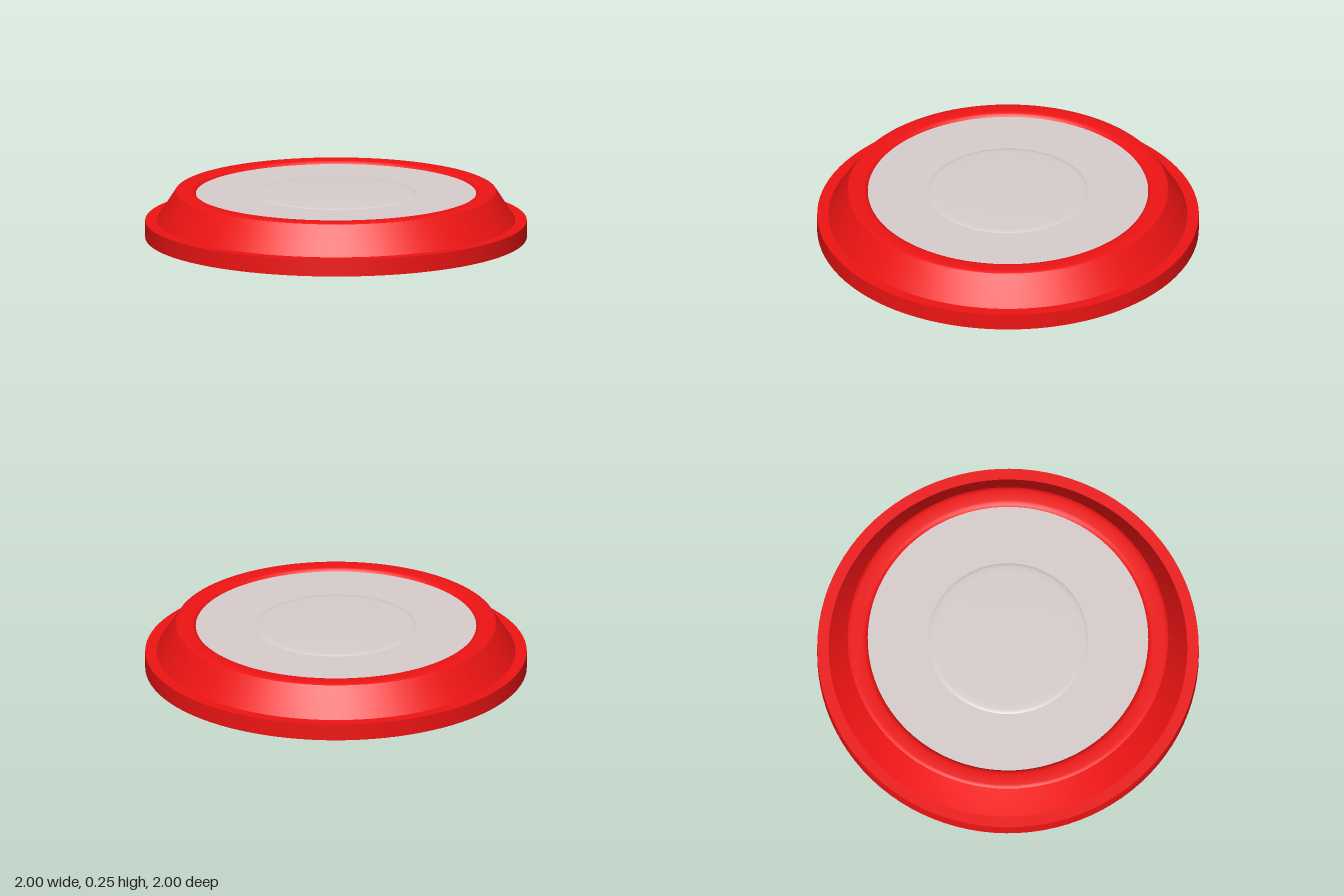
import * as THREE from 'three';
import { toCreasedNormals } from 'three/addons/utils/BufferGeometryUtils.js';

const SEGMENTS = 96;

// Revolve a profile of [radius, height] points, listed so the surface faces outward
function turned(name, profile, material) {
  const points = profile.map(([r, y]) => new THREE.Vector2(r, y));
  const lathe = new THREE.LatheGeometry(points, SEGMENTS);
  const mesh = new THREE.Mesh(toCreasedNormals(lathe, 0.45), material);
  mesh.name = name;
  return mesh;
}

export function createModel() {
  const model = new THREE.Group();
  model.name = 'roundButton';
  const red = new THREE.MeshStandardMaterial({ color: 0xf01414, side: THREE.DoubleSide });
  const pale = new THREE.MeshStandardMaterial({ color: 0xd8cecd, side: THREE.DoubleSide });

  // Flanged rim: straight foot, sloping shoulder, rounded crest and inner lip
  model.add(turned('rim', [
    [1, 0], [1, 0.09], [0.94, 0.09],
    [0.845, 0.238], [0.84, 0.245], [0.832, 0.249], [0.82, 0.25],
    [0.765, 0.25], [0.752, 0.248], [0.742, 0.243], [0.735, 0.234],
  ], red));

  // Inset face surrounding the centre pad
  model.add(turned('face', [[0.735, 0.234], [0.42, 0.234]], pale));

  // Slightly raised centre pad with a softened edge
  model.add(turned('centrePad', [
    [0.42, 0.234], [0.416, 0.236], [0.40, 0.238], [0.37, 0.239], [0, 0.239],
  ], pale));

  // Flat underside
  const underside = new THREE.Mesh(new THREE.CircleGeometry(1, SEGMENTS), pale);
  underside.name = 'underside';
  underside.rotation.x = Math.PI / 2;
  model.add(underside);

  return model;
}
